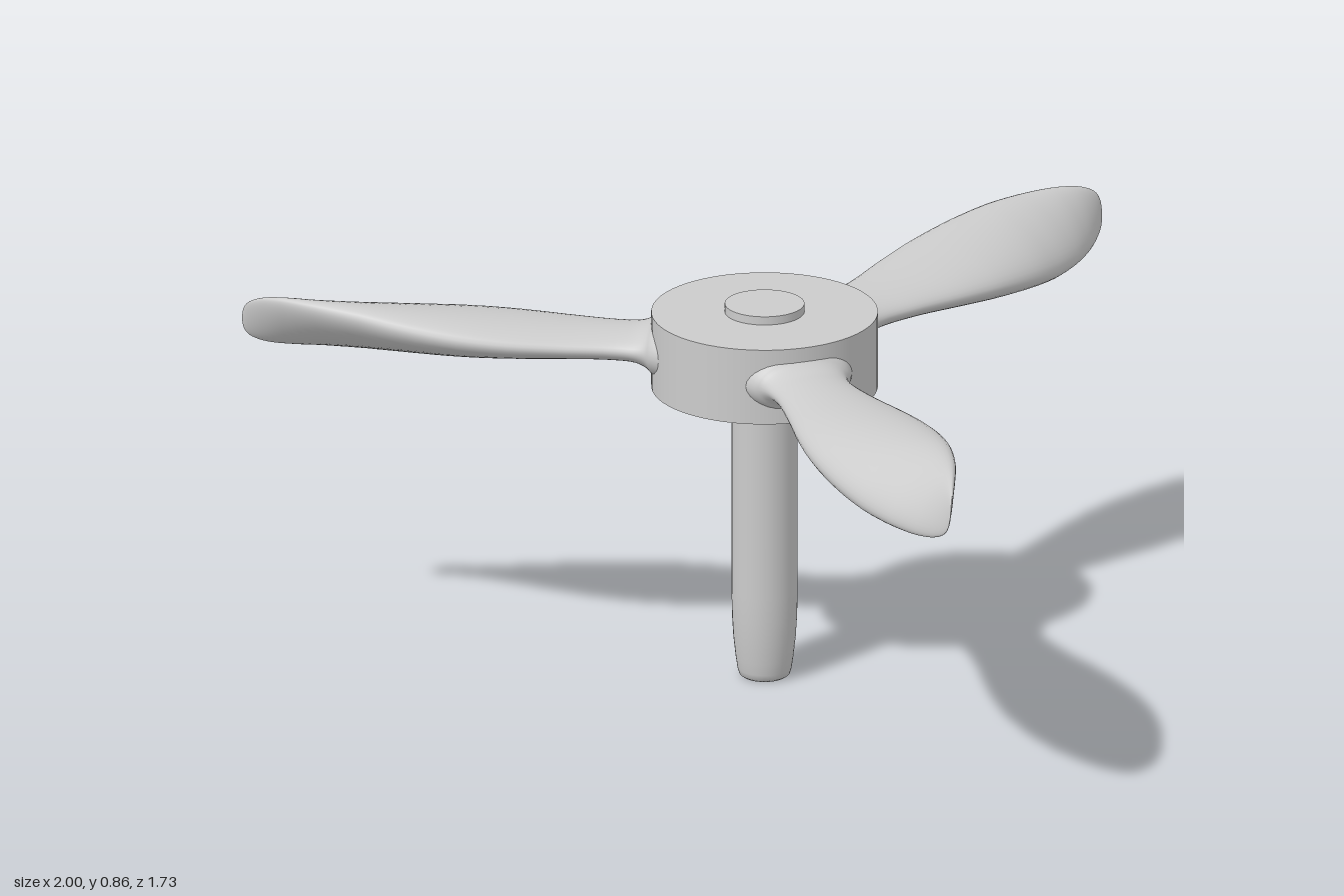
import * as THREE from 'three';

const material = new THREE.MeshStandardMaterial({ color: 0xcccccc });
const HUB_Z = -0.288;
const BLADE_Y = 0.757;

// Blade sections: [radius, half width, half height, skew]; the skew raises the +x edge
const SECTIONS = [
  [0.20, 0.130, 0.075, 0], [0.235, 0.113, 0.064, 0], [0.25, 0.100, 0.050, 0],
  [0.275, 0.093, 0.038, 0], [0.32, 0.091, 0.035, 0.02], [0.42, 0.105, 0.037, 0.08],
  [0.55, 0.127, 0.046, 0.2], [0.66, 0.135, 0.055, 0.33], [0.78, 0.127, 0.064, 0.5],
  [0.88, 0.107, 0.070, 0.65], [0.98, 0.078, 0.070, 0.75], [1.06, 0.047, 0.066, 0.8],
  [1.11, 0.025, 0.056, 0.8], [1.14, 0.011, 0.040, 0.8], [1.151, 0.004, 0.022, 0.8],
  [1.154, 0.0005, 0.001, 0.8],
];

// Loft skewed ellipses along +z, blending between sections
function bladeGeometry(sides = 40, steps = 4) {
  const size = new THREE.CatmullRomCurve3(
    SECTIONS.map(([r, w, h]) => new THREE.Vector3(w, h, r)), false, 'centripetal');
  const spans = SECTIONS.length - 1;
  const rings = spans * steps;
  const positions = [];
  const index = [];
  for (let i = 0; i <= rings; i++) {
    const p = size.getPoint(i / rings);
    const k = Math.min(Math.floor(i / steps), spans - 1);
    const skew = THREE.MathUtils.lerp(SECTIONS[k][3], SECTIONS[k + 1][3], i / steps - k);
    const phase = Math.asin(skew);
    for (let j = 0; j < sides; j++) {
      const u = (j / sides) * Math.PI * 2;
      positions.push(p.x * Math.cos(u), p.y * Math.sin(u + phase), p.z);
      if (i === rings) continue;
      const a = i * sides + j;
      const b = i * sides + (j + 1) % sides;
      index.push(a, b, b + sides, a, b + sides, a + sides);
    }
  }
  const geometry = new THREE.BufferGeometry();
  geometry.setAttribute('position', new THREE.Float32BufferAttribute(positions, 3));
  geometry.setIndex(index);
  geometry.computeVertexNormals();
  return geometry;
}

export function createModel() {
  const group = new THREE.Group();
  group.name = 'propeller';

  const add = (name, geometry, y = 0) => {
    const mesh = new THREE.Mesh(geometry, material);
    mesh.name = name;
    mesh.position.set(0, y, HUB_Z);
    group.add(mesh);
    return mesh;
  };
  const disc = (name, radius, bottom, top, sides) =>
    add(name, new THREE.CylinderGeometry(radius, radius, top - bottom, sides), (top + bottom) / 2);

  // Hub with its thin end discs
  disc('hub', 0.247, 0.67, 0.842, 64);
  disc('topCap', 0.087, 0.84, 0.861, 32);
  disc('lowerCollar', 0.095, 0.656, 0.672, 32);

  // Shaft, tapering to a rounded foot
  const profile = [
    [0, 0], [0.048, 0], [0.055, 0.005], [0.059, 0.018], [0.063, 0.045],
    [0.068, 0.09], [0.071, 0.14], [0.072, 0.2], [0.072, 0.66],
  ].map(([x, y]) => new THREE.Vector2(x, y));
  add('shaft', new THREE.LatheGeometry(profile, 40));

  // Three twisted blades around the hub
  const blade = bladeGeometry();
  for (let i = 0; i < 3; i++) {
    add('blade' + (i + 1), blade, BLADE_Y).rotation.y = (i * Math.PI * 2) / 3;
  }
  return group;
}
